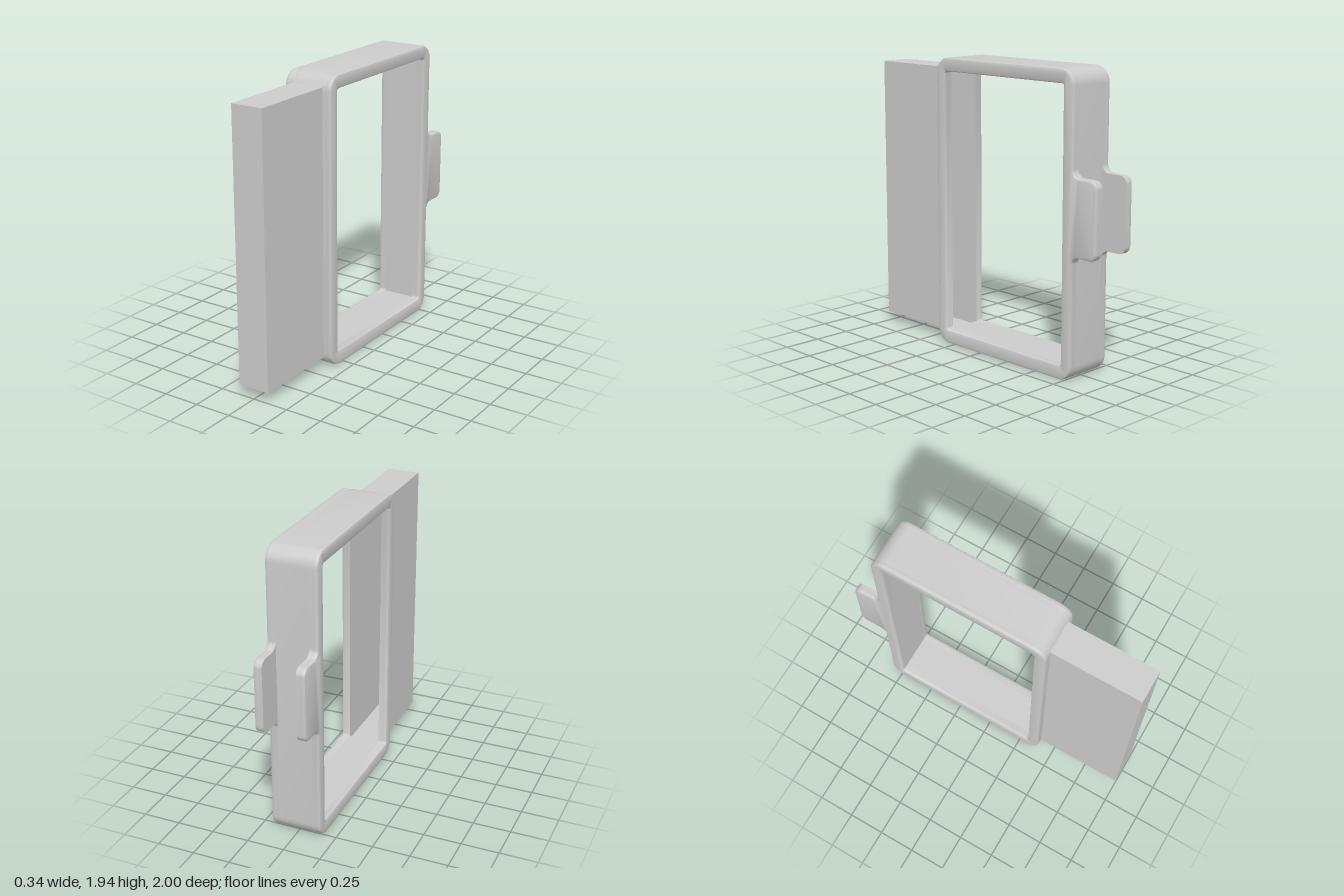
import * as THREE from 'three';
import { toCreasedNormals } from 'three/addons/utils/BufferGeometryUtils.js';

// Profiles are drawn in the side plane: u = -z, v = y. Points are [u, v, cornerRadius].
const H = 1.94, BACK = 0.81, FRONT = -0.395;
const HALF = 0.17, INNER = 0.11, BEVEL = 0.015;

function trace(path, points) {
  const n = points.length;
  const vec = (i) => new THREE.Vector2(points[(i + n) % n][0], points[(i + n) % n][1]);
  points.forEach(([, , r = 0], i) => {
    const p = vec(i);
    const toPrev = vec(i - 1).sub(p).normalize();
    const toNext = vec(i + 1).sub(p).normalize();
    const at = (dir, d) => p.clone().addScaledVector(dir, d);
    const a = at(toPrev, r), b = at(toNext, r);
    if (i === 0) path.moveTo(a.x, a.y);
    else path.lineTo(a.x, a.y);
    if (r > 0) {
      const c = at(toPrev, r * 0.448), d = at(toNext, r * 0.448);
      path.bezierCurveTo(c.x, c.y, d.x, d.y, b.x, b.y);
    }
  });
  path.closePath();
  return path;
}

// Extrude a side profile across x from x0 to x1
function extrudeAcross(shape, x0, x1, bevel = 0) {
  const geometry = new THREE.ExtrudeGeometry(shape, {
    depth: x1 - x0 - 2 * bevel, curveSegments: 10,
    bevelEnabled: bevel > 0, bevelThickness: bevel, bevelSize: bevel,
    bevelOffset: -bevel, bevelSegments: 2,
  });
  geometry.translate(0, 0, x0 + bevel).rotateY(Math.PI / 2);
  return toCreasedNormals(geometry, 0.5);
}

export function createModel() {
  const model = new THREE.Group();
  const material = new THREE.MeshStandardMaterial({ color: 0xcccccc });
  const add = (name, geometry, parent = model, mat = material) => {
    const mesh = new THREE.Mesh(geometry, mat);
    mesh.name = name;
    parent.add(mesh);
  };

  // Side plate outline: rounded frame with a filleted tab at the back
  const side = trace(new THREE.Shape(), [
    [FRONT, 0, 0.1], [BACK, 0, 0.1],
    [BACK, 0.8, 0.05], [1, 0.8, 0.05], [1, 1.29, 0.05], [BACK, 1.29, 0.05],
    [BACK, H, 0.1], [FRONT, H, 0.1],
  ]);
  side.holes.push(trace(new THREE.Path(), [
    [-0.315, 0.095, 0.015], [-0.315, 1.85, 0.015], [0.73, 1.85, 0.015], [0.73, 0.095, 0.015],
  ]));

  // Each side: a bevelled outer layer over a square-edged inner layer
  for (const s of [1, -1]) {
    const group = new THREE.Group();
    group.name = s > 0 ? 'leftFrameSide' : 'rightFrameSide';
    const span = (a, b) => (s > 0 ? [a, b] : [-b, -a]);
    add('bevelledRim', extrudeAcross(side, ...span(0.12, HALF), BEVEL), group);
    add('innerRim', extrudeAcross(side, ...span(INNER, HALF - BEVEL)), group);
    model.add(group);
  }

  // Middle of the frame, open at the front where the sleeve joins
  const corner = [[-0.39, 1.87], [-0.372, 1.904], [-0.337, 1.931], [-0.295, H]];
  const core = trace(new THREE.Shape(), [
    ...corner.map(([u, v]) => [u, H - v]),
    [BACK, 0, 0.1], [BACK, H, 0.1],
    ...corner.slice().reverse(),
    [-0.315, 1.87], [-0.315, 1.85], [0.73, 1.85], [0.73, 0.095], [-0.315, 0.095], [-0.315, 0.07],
  ]);
  add('frameCore', extrudeAcross(core, -0.12, 0.12));

  // Thin hollow sleeve, open towards the frame window
  const sleeve = new THREE.BoxGeometry(2 * INNER, 1.8, 0.68);
  sleeve.setIndex(Array.from(sleeve.index.array).slice(0, 30));
  sleeve.translate(0, 0.97, 0.66);
  add('sleeve', sleeve, model, new THREE.MeshStandardMaterial({ color: 0xcccccc, side: THREE.DoubleSide }));

  return model;
}
